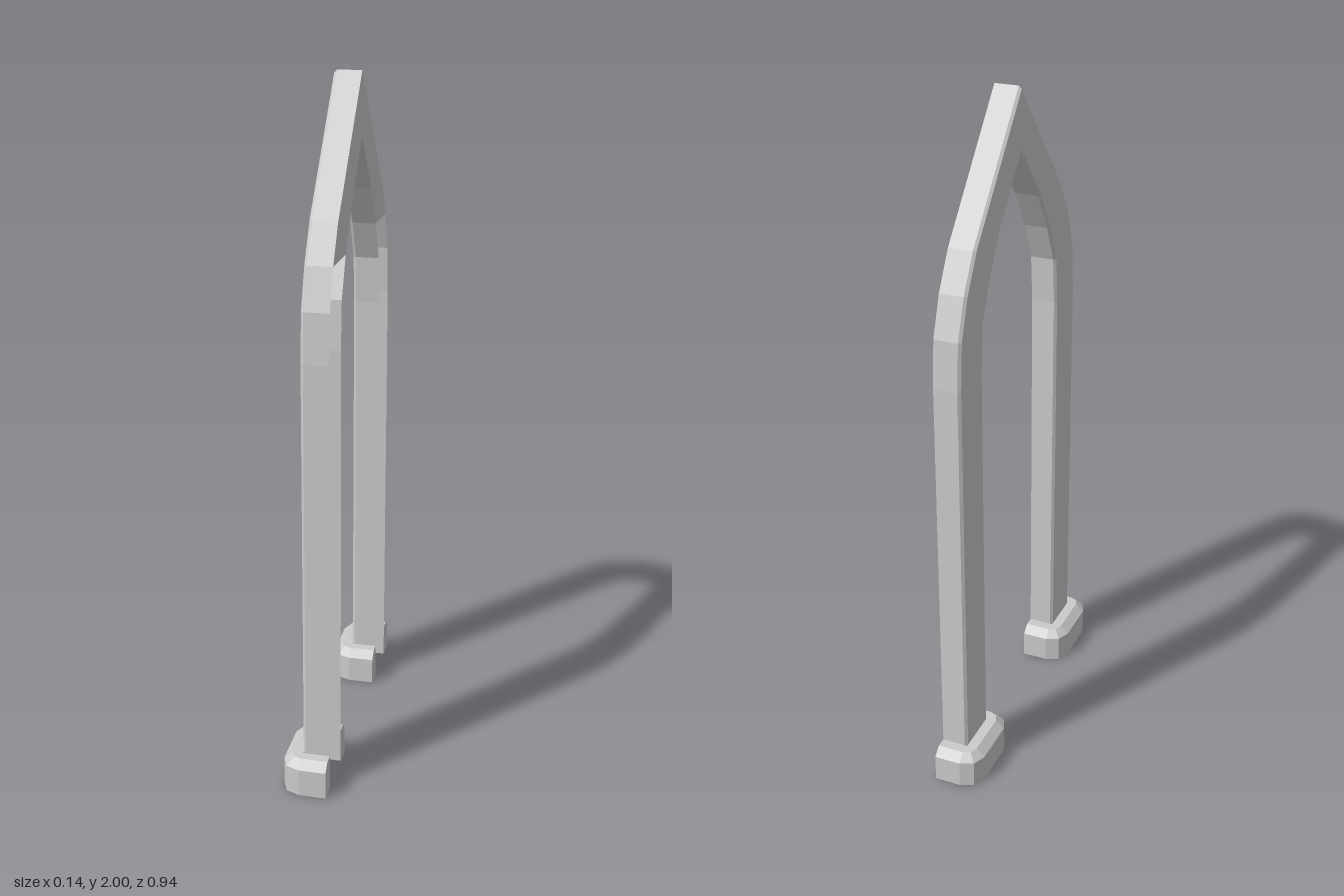
import * as THREE from 'three';

const BACK = 0.067;   // open side of the frame
const FACE = -0.012;  // flat face of the frame
const OUTER = 0.415, INNER = 0.27; // leg edges in z

const material = new THREE.MeshStandardMaterial({
  color: 0xcccccc, flatShading: true, side: THREE.DoubleSide,
});

// Joins successive rows of [x, y, z] points with quads.
function loft(rows) {
  const pos = [];
  for (let i = 0; i < rows.length - 1; i++) {
    for (let j = 0; j < rows[i].length - 1; j++) {
      const a = rows[i][j], b = rows[i][j + 1];
      const c = rows[i + 1][j + 1], d = rows[i + 1][j];
      pos.push(...a, ...b, ...c, ...a, ...c, ...d);
    }
  }
  const g = new THREE.BufferGeometry();
  g.setAttribute('position', new THREE.Float32BufferAttribute(pos, 3));
  g.computeVertexNormals();
  return g;
}

function part(name, geometry) {
  const mesh = new THREE.Mesh(geometry, material);
  mesh.name = name;
  return mesh;
}

// Half of the pointed arch: [outer z, outer y, inner z, inner y]
const half = [
  [OUTER, 0.105, INNER, 0.105],
  [OUTER, 1.28, INNER, 1.28],
  [0.405, 1.42, 0.26, 1.42],
  [0.365, 1.535, 0.21, 1.535],
  [0.305, 1.64, 0.137, 1.655],
  [0, 2, 0, 1.82],
];
const mirrored = half.slice(0, -1).reverse().map(([a, b, c, d]) => [-a, b, -c, d]);
const stations = [...half, ...mirrored];

// Channel section with small bevels along the face
function channelSection([oz, oy, iz, iy]) {
  const at = (x, t) => [x, oy + (iy - oy) * t, oz + (iz - oz) * t];
  return [at(BACK, 0), at(FACE + 0.008, 0), at(FACE, 0.05),
    at(FACE, 0.95), at(FACE + 0.008, 1), at(BACK, 1)];
}

// U-shaped row around a leg, grown by rz sideways and rx forwards
function footRow(rx, rz, y) {
  const k = Math.SQRT1_2;
  return [
    [BACK, y, OUTER + rz], [FACE, y, OUTER + rz],
    [FACE - rx * k, y, OUTER + rz * k], [FACE - rx, y, OUTER],
    [FACE - rx, y, INNER], [FACE - rx * k, y, INNER - rz * k],
    [FACE, y, INNER - rz], [BACK, y, INNER - rz],
  ];
}

function makeFoot() {
  const foot = new THREE.Group();
  const rows = [
    footRow(0, 0, 0.105),
    footRow(0.031, 0.031, 0.105),  // flat top
    footRow(0.057, 0.057, 0.082),  // chamfer
    footRow(0.057, 0.057, 0),      // outer wall
    footRow(0.031, 0, 0),          // underside
    footRow(0.031, 0, 0.082),      // inner wall
    footRow(0, 0, 0.105),          // sloped soffit
  ];
  foot.add(part('footMoulding', loft(rows)));
  // End faces of the moulding
  for (const end of [0, 7]) {
    const p = rows.map((r) => r[end]);
    foot.add(part('footEnd', loft([[p[0], p[1], p[2]], [p[4], p[4], p[3]]])));
  }
  return foot;
}

export function createModel() {
  const model = new THREE.Group();
  model.name = 'pointedArchFrame';

  // Hollow legs and arch in one sweep
  model.add(part('archFrame', loft(stations.map(channelSection))));

  // Flat back closing only the pointed top
  const top = stations.slice(3, -3);
  model.add(part('archBack', loft(top.map(([oz, oy, iz, iy]) => [[BACK, oy, oz], [BACK, iy, iz]]))));

  // One foot under each leg
  for (const side of [1, -1]) {
    const foot = makeFoot();
    foot.name = side > 0 ? 'frontFoot' : 'rearFoot';
    foot.scale.z = side;
    model.add(foot);
  }
  return model;
}
